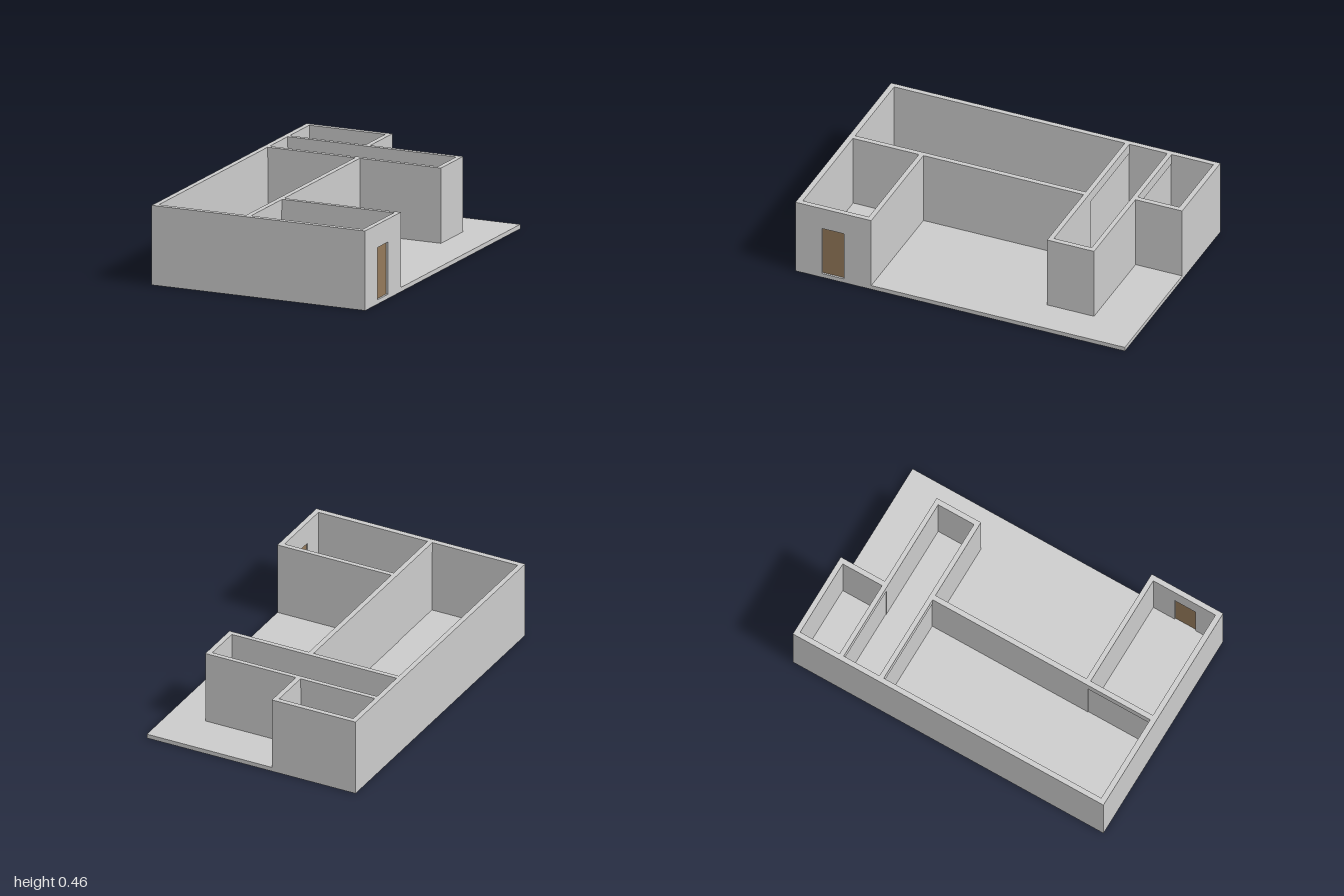
import * as THREE from 'three';

const FLOOR = 0.025, TOP = 0.457, HEADER = 0.397, DOOR_TOP = 0.325;

export function createModel() {
  const group = new THREE.Group();
  const grey = new THREE.MeshStandardMaterial({ color: 0xcccccc });
  const wood = new THREE.MeshStandardMaterial({ color: 0x94795a });

  // Box given by its extents on each axis
  const block = (name, [x0, x1], [y0, y1], [z0, z1], material = grey) => {
    const mesh = new THREE.Mesh(new THREE.BoxGeometry(x1 - x0, y1 - y0, z1 - z0), material);
    mesh.position.set((x0 + x1) / 2, (y0 + y1) / 2, (z0 + z1) / 2);
    mesh.name = name;
    group.add(mesh);
  };

  // Floor slab under the whole plot
  block('floorSlab', [-0.657, 0.657], [0, FLOOR], [-1, 1]);

  // Continuous wall ring [x, z], broken only at the entrance doorway
  const outside = [
    [0.657, 0.705], [0.657, 0.54], [-0.06, 0.54], [-0.06, -0.432], [0.44, -0.432],
    [0.44, -0.717], [-0.13, -0.717], [-0.13, -1], [-0.657, -1], [-0.657, 1], [0.657, 1], [0.657, 0.84],
  ];
  const inside = [
    [0.627, 0.84], [0.627, 0.968], [-0.627, 0.968], [-0.627, -0.97], [-0.16, -0.97],
    [-0.16, -0.69], [0.41, -0.69], [0.41, -0.46], [-0.09, -0.46], [-0.09, 0.568], [0.627, 0.568], [0.627, 0.705],
  ];
  const plan = new THREE.Shape([...outside, ...inside].map(([x, z]) => new THREE.Vector2(x, -z)));
  const ring = new THREE.ExtrudeGeometry(plan, { depth: TOP - FLOOR, bevelEnabled: false });
  ring.rotateX(-Math.PI / 2).translate(0, FLOOR, 0);
  const walls = new THREE.Mesh(ring, grey);
  walls.name = 'walls';
  group.add(walls);

  // Partitions between rooms: a full-thickness header over a slightly recessed panel
  const partitions = [
    ['backRoom', [-0.627, -0.16], [-0.717, -0.69], 'z'],
    ['crossRoom', [-0.627, -0.09], [-0.46, -0.432], 'z'],
    ['entryRoom', [-0.09, -0.06], [0.568, 0.968], 'x'],
  ];
  const inset = ([a, b]) => [a + 0.003, b - 0.003];
  for (const [name, xs, zs, axis] of partitions) {
    block(name + 'Header', xs, [HEADER, TOP], zs);
    block(name + 'Panel', axis === 'x' ? inset(xs) : xs, [FLOOR, HEADER], axis === 'z' ? inset(zs) : zs);
  }

  // Entrance: lintel over the gap and a door set back in the wall
  block('doorLintel', [0.627, 0.657], [DOOR_TOP, TOP], [0.705, 0.84]);
  block('entranceDoor', [0.634, 0.645], [FLOOR, DOOR_TOP], [0.705, 0.84], wood);

  return group;
}
